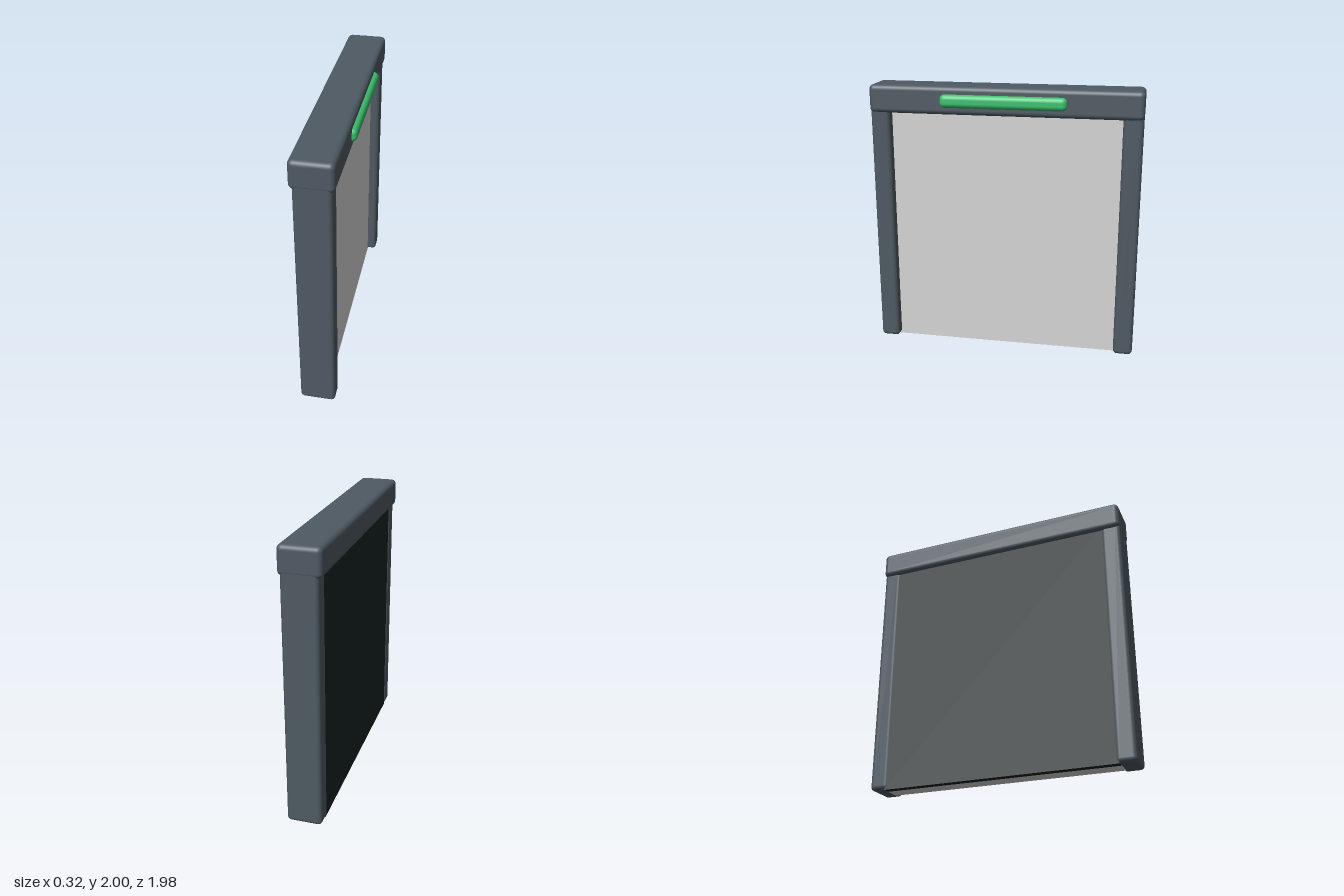
import * as THREE from 'three';
import { RoundedBoxGeometry } from 'three/addons/geometries/RoundedBoxGeometry.js';

function material(name, color) {
  const m = new THREE.MeshStandardMaterial({ color });
  m.name = name;
  return m;
}

export function createModel() {
  const group = new THREE.Group();
  group.name = 'doorway';
  const frame = material('slate grey', 0x4f5a63);
  const light = material('pale grey', 0xd6d6d6);
  const dark = material('near black', 0x172523);
  const green = material('signal green', 0x3cc170);

  // Box given by its min and max corners, rounded when radius > 0
  function block(name, mat, min, max, radius = 0) {
    const size = max.map((v, i) => v - min[i]);
    const geometry = radius > 0
      ? new RoundedBoxGeometry(...size, 4, radius)
      : new THREE.BoxGeometry(...size);
    const mesh = new THREE.Mesh(geometry, mat);
    mesh.name = name;
    mesh.position.set(...max.map((v, i) => (v + min[i]) / 2));
    group.add(mesh);
  }

  // Side posts
  block('frontPost', frame, [-0.142, 0.005, 0.845], [0.11, 1.9, 0.988], 0.03);
  block('backPost', frame, [-0.142, 0.005, -0.988], [0.11, 1.9, -0.845], 0.03);

  // Header beam across the top
  block('header', frame, [-0.165, 1.797, -0.99], [0.127, 2, 0.99], 0.035);

  // Door slab: pale face with a dark backing
  block('doorPanel', light, [-0.08, 0, -0.87], [0.04, 1.85, 0.87]);
  block('doorBacking', dark, [-0.135, 0, -0.87], [-0.08, 1.85, 0.87]);

  // Indicator lamp on the header
  block('indicatorLamp', green, [0.065, 1.85, -0.457], [0.16, 1.946, 0.457], 0.036);

  return group;
}
